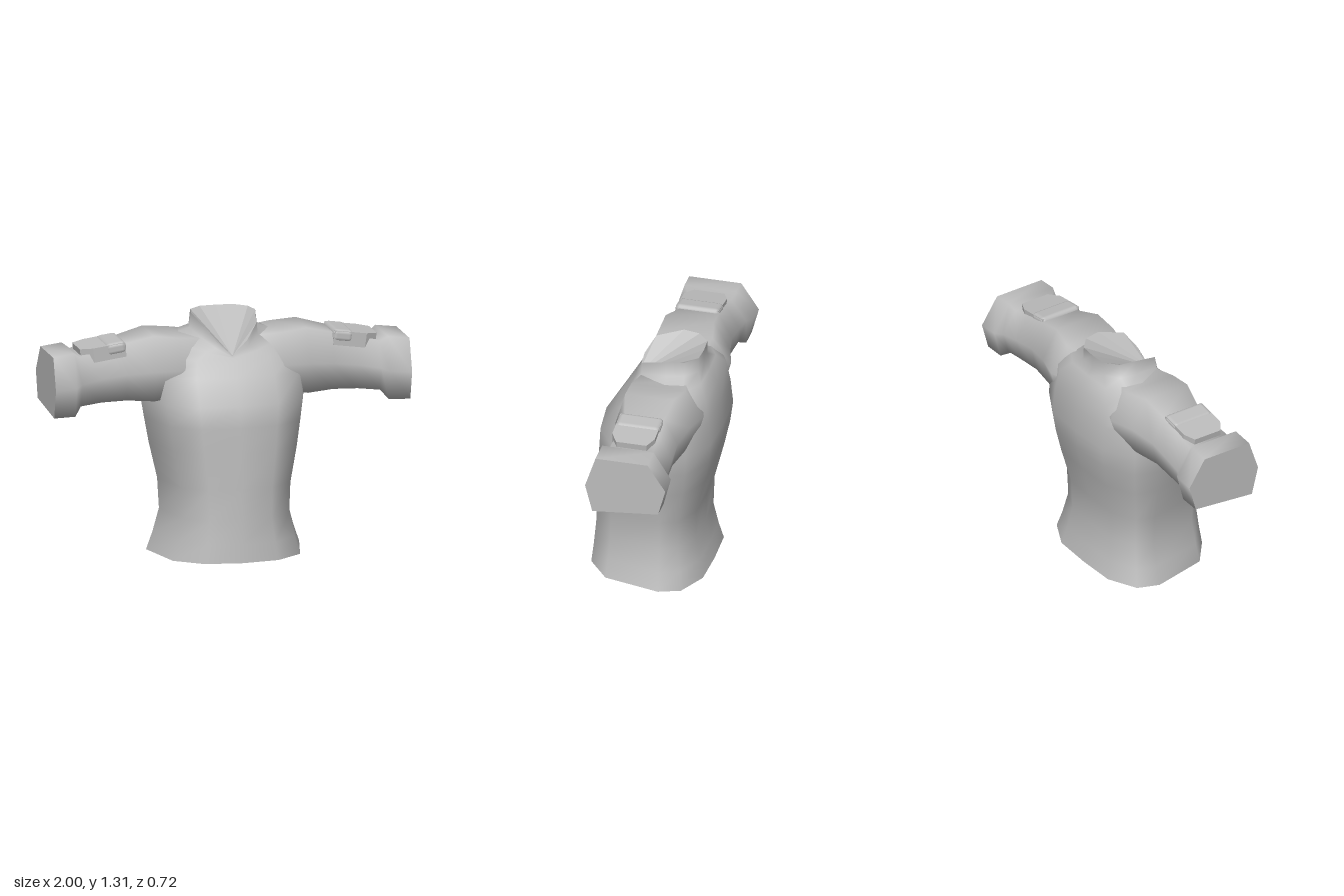
import * as THREE from 'three';
import { RoundedBoxGeometry } from 'three/addons/geometries/RoundedBoxGeometry.js';

const cloth = new THREE.MeshStandardMaterial({ color: 0xbcbcbc, side: THREE.DoubleSide });
cloth.name = 'grey cloth';

function mesh(name, geometry) {
  const m = new THREE.Mesh(geometry, cloth);
  m.name = name;
  return m;
}

// Smooth skin through closed rings of equal point count
function loft(rings) {
  const n = rings[0].length;
  const index = [];
  for (let i = 0; i < rings.length - 1; i++) {
    for (let j = 0; j < n; j++) {
      const a = i * n + j, b = i * n + (j + 1) % n;
      index.push(a, b, b + n, a, b + n, a + n);
    }
  }
  const g = new THREE.BufferGeometry();
  g.setAttribute('position', new THREE.Float32BufferAttribute(rings.flat(2), 3));
  g.setIndex(index);
  g.computeVertexNormals();
  return g;
}

// Flat faces closing a ring, fanned from its first point
function fan(ring) {
  const p = [];
  for (let i = 1; i < ring.length - 1; i++) p.push(...ring[0], ...ring[i], ...ring[i + 1]);
  const g = new THREE.BufferGeometry();
  g.setAttribute('position', new THREE.Float32BufferAttribute(p, 3));
  g.computeVertexNormals();
  return g;
}

// Torso cross-section: fractions of half width and depth, from front to back
const half = [[0, 1], [0.48, 0.93], [0.83, 0.64], [1, -0.2], [0.9, -0.66], [0.52, -0.97], [0, -1]];
const outline = [...half, ...half.slice(1, -1).reverse().map(([x, z]) => [-x, z])];

function torsoRing([y, width, front, back, drop = 0]) {
  const mid = -0.05;
  return outline.map(([fx, fz]) => [
    fx * width,
    y - (fz > 0 ? drop * (1 - Math.abs(fx) ** 1.25) : 0),
    mid + (fz > 0 ? fz * (front - mid) : -fz * (back - mid)),
  ]);
}

// Sleeve cross-section: six corners as fractions of depth and height
const hexagon = [[0.87, 1], [0.22, 1], [0, 0.55], [0.09, 0.1], [0.91, 0], [1, 0.47]];

function sleeveRing([x, bottom, top, back, front], side) {
  const ring = hexagon.map(([u, v]) => [side * x, bottom + v * (top - bottom), back + u * (front - back)]);
  return side > 0 ? ring.reverse() : ring;
}

function shoulderPatch(side) {
  const patch = new THREE.Group();
  patch.name = 'shoulderPatch';
  // Flap with a chamfered outer end
  const pts = [[-0.12, -0.12], [0.06, -0.12], [0.125, -0.08], [0.125, 0.09], [0.06, 0.12], [-0.12, 0.12]];
  const shape = new THREE.Shape(pts.map(([x, y]) => new THREE.Vector2(x * side, y)));
  const flap = mesh('flap', new THREE.ExtrudeGeometry(shape, { depth: 0.08, bevelEnabled: false }));
  flap.rotation.x = -Math.PI / 2;
  flap.position.y = -0.045;
  // Raised tab near the neck
  const tab = mesh('tab', new RoundedBoxGeometry(0.115, 0.07, 0.25, 2, 0.025));
  tab.position.set(-0.07 * side, 0.008, 0);
  patch.add(flap, tab);
  patch.position.set(0.705 * side, 1.15, -0.055);
  patch.rotation.z = -0.14 * side;
  return patch;
}

export function createModel() {
  const model = new THREE.Group();
  model.name = 'shirt';

  // Body from hem to collar: height, half width, front, back, front drop
  const body = [
    [0, 0.43, 0.36, -0.31], [0.1, 0.395, 0.35, -0.285], [0.23, 0.36, 0.34, -0.26],
    [0.4, 0.37, 0.33, -0.265], [0.6, 0.415, 0.32, -0.315], [0.74, 0.44, 0.31, -0.345],
    [0.86, 0.46, 0.3, -0.36], [1.0, 0.455, 0.21, -0.345], [1.12, 0.425, 0.155, -0.325, 0.05],
    [1.19, 0.31, 0.135, -0.28, 0.095], [1.23, 0.19, 0.125, -0.25, 0.13], [1.31, 0.18, 0.12, -0.25, 0.205],
  ].map(torsoRing);
  model.add(mesh('body', loft(body)));
  model.add(mesh('hemClosure', fan([...body[0]].reverse())));
  model.add(mesh('neckOpening', fan(body[body.length - 1])));

  // Sleeves with flared cuffs: x, bottom, top, back, front
  for (const side of [1, -1]) {
    const sleeve = [
      [0.16, 0.92, 1.2, -0.28, 0.11], [0.29, 0.89, 1.213, -0.325, 0.145], [0.43, 0.87, 1.23, -0.285, 0.135],
      [0.58, 0.875, 1.19, -0.255, 0.09], [0.72, 0.87, 1.16, -0.26, 0.085], [0.84, 0.86, 1.13, -0.265, 0.11],
      [0.88, 0.812, 1.16, -0.295, 0.15], [1, 0.81, 1.145, -0.295, 0.157],
    ].map(r => sleeveRing(r, side));
    const arm = new THREE.Group();
    arm.name = side > 0 ? 'leftSleeve' : 'rightSleeve';
    arm.add(mesh('sleeve', loft(sleeve)));
    arm.add(mesh('cuffEnd', fan(sleeve[sleeve.length - 1])));
    arm.add(shoulderPatch(side));
    model.add(arm);
  }
  return model;
}
